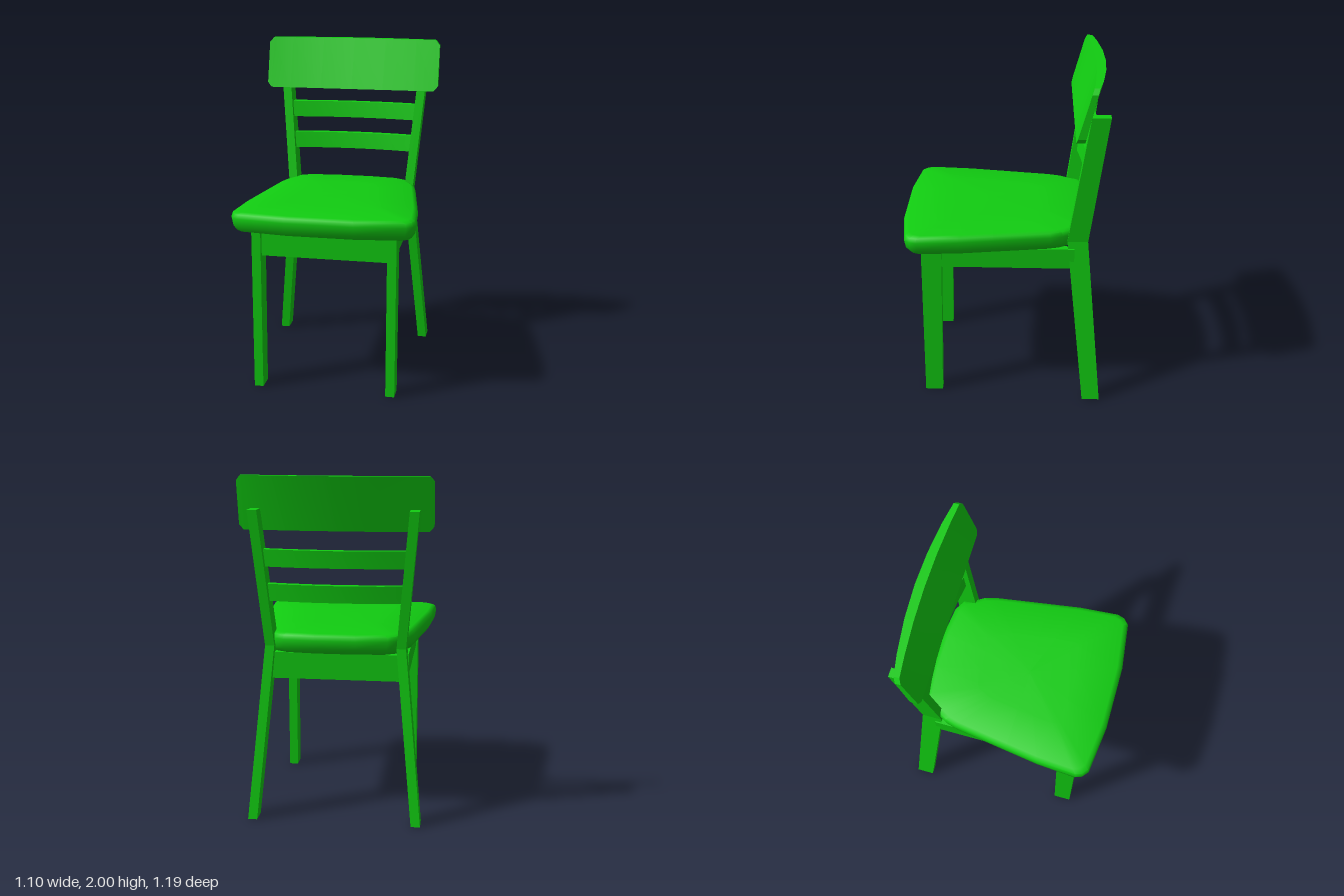
import * as THREE from 'three';
import { toCreasedNormals } from 'three/addons/utils/BufferGeometryUtils.js';

const green = new THREE.MeshStandardMaterial({ color: 0x11cc11 });

// Skins a row of equal-length rings and closes both ends.
function loft(name, rings, crease = 0.4) {
  const n = rings[0].length, index = [];
  const last = (rings.length - 1) * n;
  for (let i = 0; i < rings.length - 1; i++) {
    for (let j = 0; j < n; j++) {
      const k = (j + 1) % n;
      const a = i * n + j, b = i * n + k, c = b + n, d = a + n;
      index.push(a, b, c, a, c, d);
    }
  }
  for (let j = 1; j < n - 1; j++) {
    index.push(0, j + 1, j, last, last + j, last + j + 1);
  }
  const geometry = new THREE.BufferGeometry();
  geometry.setAttribute('position', new THREE.Float32BufferAttribute(rings.flat(2), 3));
  geometry.setIndex(index);
  const mesh = new THREE.Mesh(toCreasedNormals(geometry, crease), green);
  mesh.name = name;
  return mesh;
}

// Horizontal rectangle at height y.
const rect = (y, x0, x1, z0, z1) => [[x0, y, z1], [x1, y, z1], [x1, y, z0], [x0, y, z0]];

// Upright section at x: bottom and top, each with a back and a front depth.
const section = (x, y0, y1, back0, front0, back1, front1) =>
  [[x, y0, back0], [x, y1, back1], [x, y1, front1], [x, y0, front0]];

function box(name, x0, x1, y0, y1, z0, z1) {
  const mesh = new THREE.Mesh(new THREE.BoxGeometry(x1 - x0, y1 - y0, z1 - z0), green);
  mesh.position.set((x0 + x1) / 2, (y0 + y1) / 2, (z0 + z1) / 2);
  mesh.name = name;
  return mesh;
}

// Cushion-like seat: a tapered outline, rounded at the rim and gently crowned.
function makeSeat() {
  const half = [[0.2, 0.595], [0.49, 0.56], [0.525, 0.53], [0.538, 0.49], [0.52, 0.25], [0.49, 0.05],
    [0.44, -0.28], [0.42, -0.35], [0.39, -0.4], [0.36, -0.47], [0.3, -0.505], [0.12, -0.525]];
  const outline = [...half, ...half.map(([x, z]) => [-x, z]).reverse()];
  const layers = [[0.88, 0.98], [0.95, 0.99], [0.985, 1.02], [1, 1.07], [0.985, 1.095],
    [0.94, 1.105], [0.5, 1.117], [0.02, 1.125]];
  const zMid = 0.06;
  return loft('seat', layers.map(([s, y]) =>
    outline.map(([x, z]) => [x * s, y, zMid + (z - zMid) * s])), 0.9);
}

// Broad top rest: leaning back, bowed, with clipped corners.
function makeBackrest() {
  const xs = [-0.55, -0.525, -0.4, -0.2, 0, 0.2, 0.4, 0.525, 0.55];
  return loft('backrest', xs.map((x) => {
    const clip = Math.abs(x) > 0.54 ? 0.03 : 0;
    const y0 = 1.69 + clip, y1 = 2 - clip;
    const bow = 1 - (x / 0.55) ** 2;
    const front = (y) => -0.405 - (y - 1.69) / 0.31 * (0.085 + 0.035 * bow);
    const back = (y) => -0.452 - 0.03 * bow - (y - 1.69) / 0.31 * (0.068 + 0.03 * bow);
    return section(x, y0, y1, back(y0), front(y0), back(y1), front(y1));
  }), 0.5);
}

// Narrow curved slat between the back posts.
function makeSlat(name, y, halfWidth, z) {
  const rings = [];
  for (let i = 0; i <= 6; i++) {
    const u = i / 3 - 1, mid = z - 0.035 * (1 - u * u);
    rings.push(section(u * halfWidth, y, y + 0.1, mid - 0.025, mid + 0.02, mid - 0.038, mid + 0.007));
  }
  return loft(name, rings);
}

export function createModel() {
  const chair = new THREE.Group();
  chair.name = 'chair';
  chair.add(makeSeat(), makeBackrest());
  chair.add(makeSlat('lowerSlat', 1.29, 0.385, -0.465), makeSlat('upperSlat', 1.49, 0.405, -0.49));

  // Legs and side rails, mirrored
  for (const [s, side] of [[1, 'left'], [-1, 'right']]) {
    const leg = (y, x, z0, z1) => rect(y, s * x - 0.027, s * x + 0.027, z0, z1);
    chair.add(
      loft(side + 'FrontLeg', [leg(0, 0.4, 0.37, 0.475), leg(0.985, 0.4, 0.355, 0.475)]),
      loft(side + 'BackLeg', [
        leg(0, 0.478, -0.595, -0.49),
        leg(1.03, 0.378, -0.498, -0.378),
        leg(1.815, 0.448, -0.595, -0.49),
      ], 0.1),
      loft(side + 'Rail', [
        rect(0.86, s * 0.395 - 0.022, s * 0.395 + 0.022, -0.42, 0.37),
        rect(0.985, s * 0.395 - 0.022, s * 0.395 + 0.022, -0.42, 0.37),
      ]),
    );
  }

  // Front and back rails under the seat
  chair.add(box('frontRail', -0.38, 0.38, 0.825, 0.985, 0.4, 0.45));
  chair.add(box('backRail', -0.38, 0.38, 0.83, 0.985, -0.465, -0.415));
  return chair;
}
